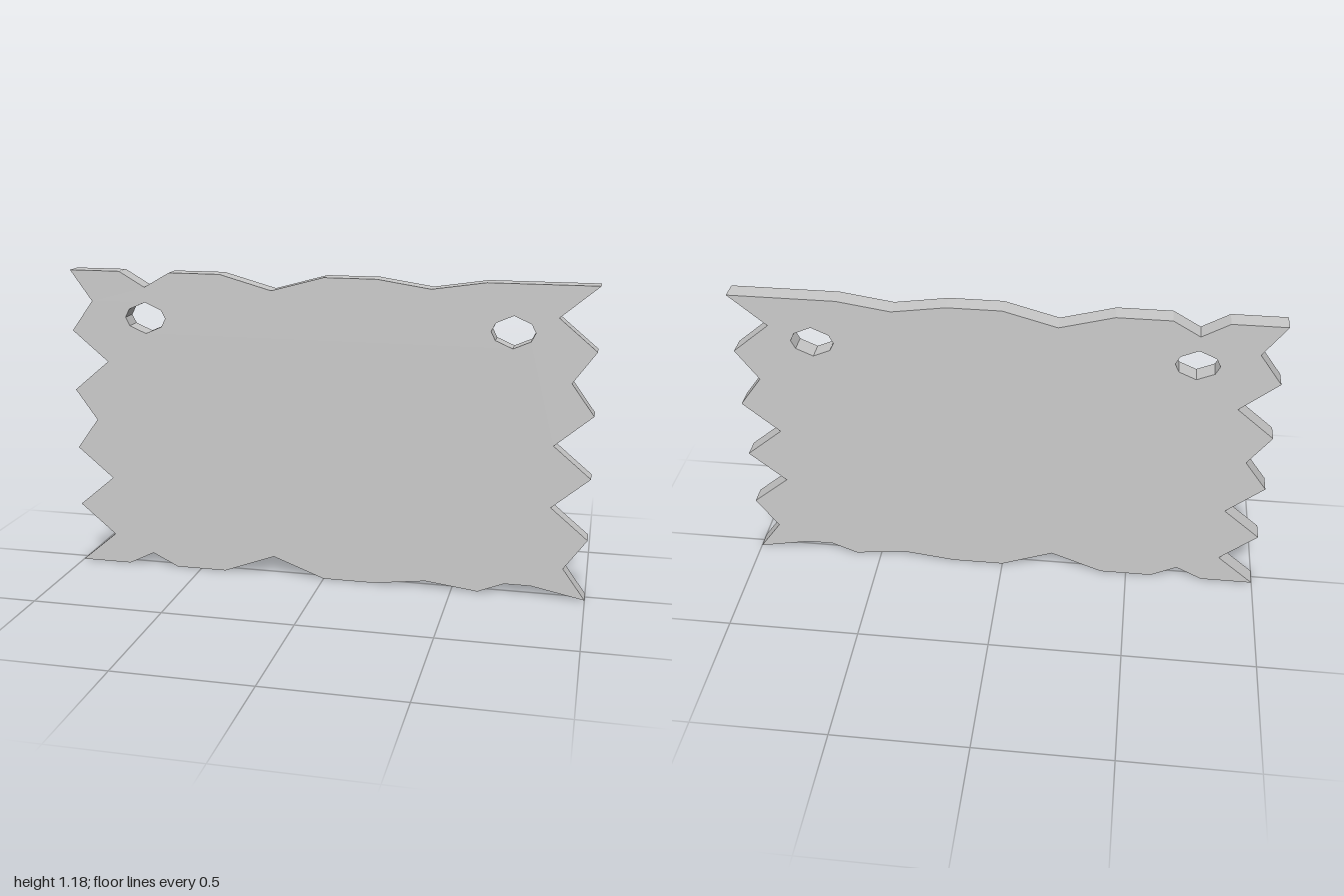
import * as THREE from 'three';

const HEIGHT = 1.178;
const DEPTH = 0.072;

export function createModel() {
  const group = new THREE.Group();
  group.name = 'woodenSign';

  // Ragged ends: a regular zigzag whose notches are shallow or deep
  const S = 0.915, D = 0.86;
  const zigzag = (side, notches) => {
    const step = HEIGHT / (notches.length * 2);
    const points = [];
    notches.forEach((x, i) => {
      points.push([side, 2 * i * step], [side * x, (2 * i + 1) * step]);
    });
    points.push([side, HEIGHT]);
    return points;
  };
  const rightEnd = zigzag(-1, [D, D, S, D, S]).reverse();
  const leftEnd = zigzag(1, [S, D, D, S, D]);

  // Chipped long edges
  const bottomEdge = [[-0.8, 0], [-0.7, 0.05], [-0.6, 0], [-0.4, 0], [-0.2, 0.075], [0, 0],
    [0.2, 0], [0.4, 0.025], [0.6, 0], [0.7, 0.04], [0.8, 0.04]];
  const topEdge = [[0.6, 0], [0.4, 0.03], [0.2, 0], [0, 0], [-0.2, 0.055], [-0.4, 0],
    [-0.6, 0], [-0.7, 0.058], [-0.8, 0]].map(([x, dip]) => [x, HEIGHT - dip]);

  const outline = [...rightEnd, ...bottomEdge, ...leftEnd, ...topEdge];
  const shape = new THREE.Shape(outline.map(([x, y]) => new THREE.Vector2(x, y)));

  // Eight-sided hanging holes in the upper corners
  const hole = [[0.08, 0], [0.064, 0.032], [0, 0.06], [-0.064, 0.032],
    [-0.08, 0], [-0.064, -0.032], [0, -0.06], [0.064, -0.032]];
  for (const cx of [-0.7, 0.7]) {
    shape.holes.push(new THREE.Path(hole.map(([x, y]) => new THREE.Vector2(cx + x, 1.002 + y))));
  }

  const geometry = new THREE.ExtrudeGeometry(shape, { depth: DEPTH, bevelEnabled: false });
  geometry.translate(0, 0, -DEPTH / 2);
  const board = new THREE.Mesh(
    geometry,
    new THREE.MeshStandardMaterial({ color: 0xcccccc, flatShading: true })
  );
  board.name = 'signBoard';
  group.add(board);
  return group;
}
